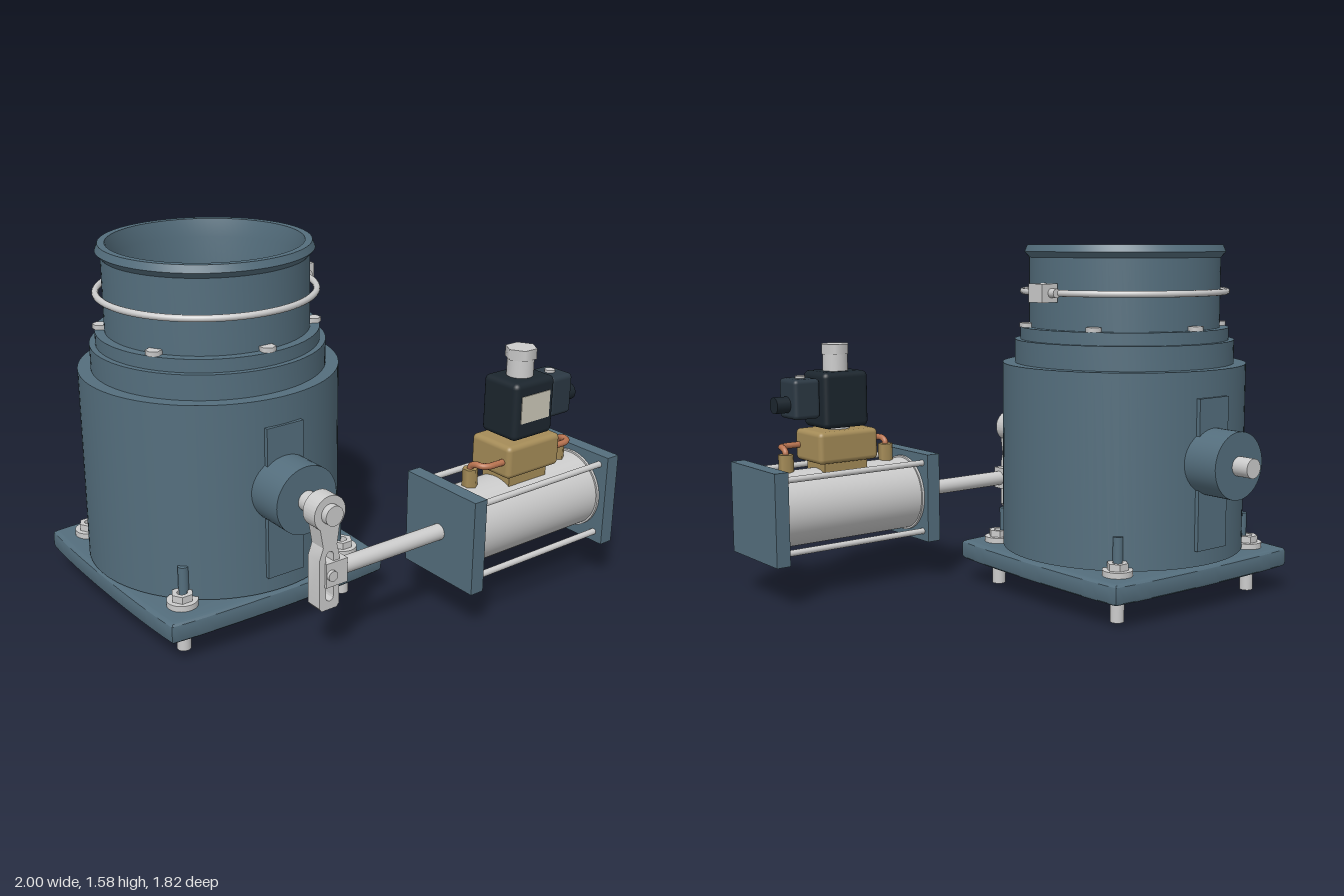
import * as THREE from 'three';
import { toCreasedNormals } from 'three/addons/utils/BufferGeometryUtils.js';
import { RoundedBoxGeometry } from 'three/addons/geometries/RoundedBoxGeometry.js';

const mat = (color) => new THREE.MeshStandardMaterial({ color });
const H = Math.PI / 2;

export function createModel() {
  const root = new THREE.Group();
  const blue = mat(0x546e7d), steel = mat(0xcccccc), brass = mat(0xa58c58);
  const dark = mat(0x1c262e), slate = mat(0x2b3843), copper = mat(0xb87350), cream = mat(0xccc8b8);

  const add = (parent, name, geo, material, x = 0, y = 0, z = 0, rx = 0, ry = 0, rz = 0) => {
    const mesh = new THREE.Mesh(geo, material);
    mesh.name = name;
    mesh.position.set(x, y, z);
    mesh.rotation.set(rx, ry, rz);
    parent.add(mesh);
    return mesh;
  };
  const group = (name, x, y, z) => {
    const g = new THREE.Group();
    g.name = name;
    g.position.set(x, y, z);
    root.add(g);
    return g;
  };
  const box = (w, h, d) => new THREE.BoxGeometry(w, h, d);
  const cyl = (r, h, n = 32) => new THREE.CylinderGeometry(r, r, h, n);
  const lathe = (pts, n = 96) => toCreasedNormals(
    new THREE.LatheGeometry(pts.map(([r, y]) => new THREE.Vector2(r, y)), n), 0.4);
  const hole = (r) => new THREE.Path().absarc(0, 0, r, 0, Math.PI * 2, true);

  // ---- Valve, centred on its own vertical axis ----
  const valve = group('valve', -0.45, 0, -0.125);

  // stepped hollow housing with a flared lip
  add(valve, 'housing', lathe([
    [0.367, 0.19], [0.5, 0.19], [0.5, 0.21], [0.55, 0.21], [0.55, 1.05], [0.495, 1.05], [0.495, 1.155],
    [0.47, 1.155], [0.47, 1.21], [0.43, 1.21], [0.43, 1.52], [0.452, 1.545], [0.44, 1.575],
    [0.41, 1.575], [0.395, 1.5], [0.395, 1.21], [0.367, 1.18], [0.367, 0.19]]), blue);

  // square base plate with gently bowed sides and a round opening
  const c = 0.53, b = 0.557, k = 0.3;
  const plate = new THREE.Shape();
  plate.moveTo(-c, -c);
  plate.bezierCurveTo(-k, -b, k, -b, c, -c);
  plate.bezierCurveTo(b, -k, b, k, c, c);
  plate.bezierCurveTo(k, b, -k, b, -c, c);
  plate.bezierCurveTo(-b, k, -b, -k, -c, -c);
  plate.holes.push(hole(0.367));
  const plateGeo = new THREE.ExtrudeGeometry(plate, {
    depth: 0.05, bevelEnabled: true, bevelSize: 0.02, bevelOffset: -0.02,
    bevelThickness: 0.02, bevelSegments: 3, curveSegments: 32 });
  plateGeo.rotateX(-H);
  add(valve, 'basePlate', toCreasedNormals(plateGeo, 0.5), blue, 0, 0.13, 0);

  // corner studs with washers, socket nuts and small posts on the housing
  const nutShape = new THREE.Shape();
  for (let i = 0; i < 6; i++) {
    const a = i * Math.PI / 3;
    nutShape[i ? 'lineTo' : 'moveTo'](0.047 * Math.cos(a), 0.047 * Math.sin(a));
  }
  nutShape.closePath();
  nutShape.holes.push(hole(0.022));
  const nutGeo = new THREE.ExtrudeGeometry(nutShape, { depth: 0.03, bevelEnabled: false });
  nutGeo.rotateX(-H);
  for (const sx of [-1, 1]) for (const sz of [-1, 1]) {
    const x = sx * 0.407, z = sz * 0.407;
    add(valve, 'stud', cyl(0.03, 0.225, 24), steel, x, 0.1125, z);
    add(valve, 'washer', cyl(0.065, 0.025), steel, x, 0.2125, z);
    add(valve, 'nut', nutGeo, steel, x, 0.225, z);
    add(valve, 'cornerPost', cyl(0.022, 0.16, 20), blue, sx * 0.388, 0.28, sz * 0.388);
  }

  // hex screws around the shoulder
  for (let i = 0; i < 6; i++) {
    const a = i * Math.PI / 3;
    add(valve, 'shoulderScrew', cyl(0.034, 0.02, 6), steel, 0.445 * Math.sin(a), 1.22, 0.445 * Math.cos(a));
  }

  // hose clamp
  add(valve, 'clampRing', new THREE.TorusGeometry(0.458, 0.014, 12, 96), steel, 0, 1.37, 0, H);
  add(valve, 'clampBlock', box(0.085, 0.08, 0.09), steel, 0.478, 1.37, 0);
  add(valve, 'clampScrew', cyl(0.02, 0.16, 20), steel, 0.468, 1.37, 0, H);

  // shaft bosses on pads, front and back
  for (const s of [-1, 1]) {
    add(valve, 'bossPad', box(0.175, 0.655, 0.1), blue, 0, 0.6075, s * 0.512);
    add(valve, 'shaftBoss', cyl(0.145, 0.27, 48), blue, 0, 0.66, s * 0.57, H);
  }

  // butterfly disc on its shaft
  add(valve, 'disc', cyl(0.355, 0.03, 96), brass, 0, 0.66, 0);
  add(valve, 'shaft', cyl(0.042, 1.67), steel, 0, 0.66, 0.05, H);

  // ---- Lever and piston rod ----
  const linkage = group('linkage', -0.45, 0, 0.695);
  const arm = new THREE.Shape();
  arm.absarc(0, 0.66, 0.075, -0.9, Math.PI + 0.9, false);
  arm.lineTo(-0.032, 0.52);
  arm.lineTo(-0.05, 0.47);
  arm.lineTo(-0.05, 0.26);
  arm.lineTo(-0.038, 0.245);
  arm.lineTo(0.035, 0.245);
  arm.lineTo(0.047, 0.26);
  arm.lineTo(0.047, 0.47);
  arm.lineTo(0.035, 0.52);
  const slot = new THREE.Path();
  slot.absarc(0, 0.3, 0.018, Math.PI, Math.PI * 2, false);
  slot.absarc(0, 0.48, 0.018, 0, Math.PI, false);
  slot.closePath();
  arm.holes.push(slot);
  add(linkage, 'leverArm', toCreasedNormals(new THREE.ExtrudeGeometry(arm, {
    depth: 0.075, bevelEnabled: false, curveSegments: 32 }), 0.5), steel, 0, 0, -0.04);
  add(linkage, 'clevis', box(0.105, 0.105, 0.07), steel, 0.028, 0.4, 0.01);
  add(linkage, 'clevisPin', cyl(0.022, 0.12, 20), steel, 0, 0.4, 0, H);
  add(linkage, 'pistonRod', cyl(0.035, 0.6), steel, 0.32, 0.4, 0.005, 0, 0, H);

  // ---- Air cylinder ----
  const actuator = group('actuator', 0.5725, 0.4, 0.7);
  for (const s of [-1, 1]) {
    add(actuator, 'endPlate', box(0.066, 0.415, 0.415), blue, s * 0.3945, -0.002, 0.002);
    add(actuator, 'endCollar', cyl(0.178, 0.012, 64), steel, s * 0.356, 0, 0, 0, 0, H);
    for (const t of [-1, 1])
      add(actuator, 'tieRod', cyl(0.014, 0.73, 16), steel, 0, s * 0.163, t * 0.163, 0, 0, H);
  }
  add(actuator, 'barrel', cyl(0.17, 0.74, 64), steel, 0, 0, 0, 0, 0, H);

  // ---- Solenoid valve on top of the cylinder ----
  const pilot = group('pilotValve', 0.5725, 0, 0.7);
  add(pilot, 'valveBlock', new RoundedBoxGeometry(0.305, 0.145, 0.23, 3, 0.022), brass, 0, 0.672, 0);
  add(pilot, 'blockFoot', box(0.22, 0.08, 0.16), brass, 0, 0.59, 0);
  add(pilot, 'coilNeck', cyl(0.06, 0.04), steel, 0, 0.75, 0);
  add(pilot, 'coil', new RoundedBoxGeometry(0.23, 0.255, 0.2, 3, 0.025), dark, 0, 0.882, 0);
  add(pilot, 'label', box(0.165, 0.12, 0.006), cream, 0, 0.892, 0.1);
  add(pilot, 'coilCap', cyl(0.057, 0.09), steel, 0, 1.045, 0);
  add(pilot, 'capNut', cyl(0.068, 0.046, 6), steel, 0, 1.108, 0, 0, Math.PI / 6);
  add(pilot, 'connector', new RoundedBoxGeometry(0.13, 0.18, 0.15, 3, 0.02), slate, 0.185, 0.895, 0);
  add(pilot, 'connectorNeck', box(0.03, 0.1, 0.09), dark, 0.118, 0.895, 0);
  add(pilot, 'connectorScrew', cyl(0.022, 0.016, 20), steel, 0.182, 0.988, 0);
  add(pilot, 'cableGland', cyl(0.037, 0.07, 24), dark, 0.28, 0.87, 0, 0, 0, H);

  // fittings and bent copper pipes, mirrored left and right
  for (const s of [-1, 1]) {
    add(pilot, 'pipeFitting', cyl(0.034, 0.09, 6), brass, s * 0.262, 0.602, 0);
    const path = new THREE.CatmullRomCurve3([
      [0.262, 0.63, 0], [0.262, 0.658, 0.004], [0.26, 0.672, 0.03], [0.252, 0.672, 0.06],
      [0.225, 0.672, 0.076], [0.19, 0.672, 0.078], [0.13, 0.672, 0.078]
    ].map(([x, y, z]) => new THREE.Vector3(s * x, y, z)));
    add(pilot, 'copperPipe', new THREE.TubeGeometry(path, 40, 0.014, 12), copper);
  }

  return root;
}
